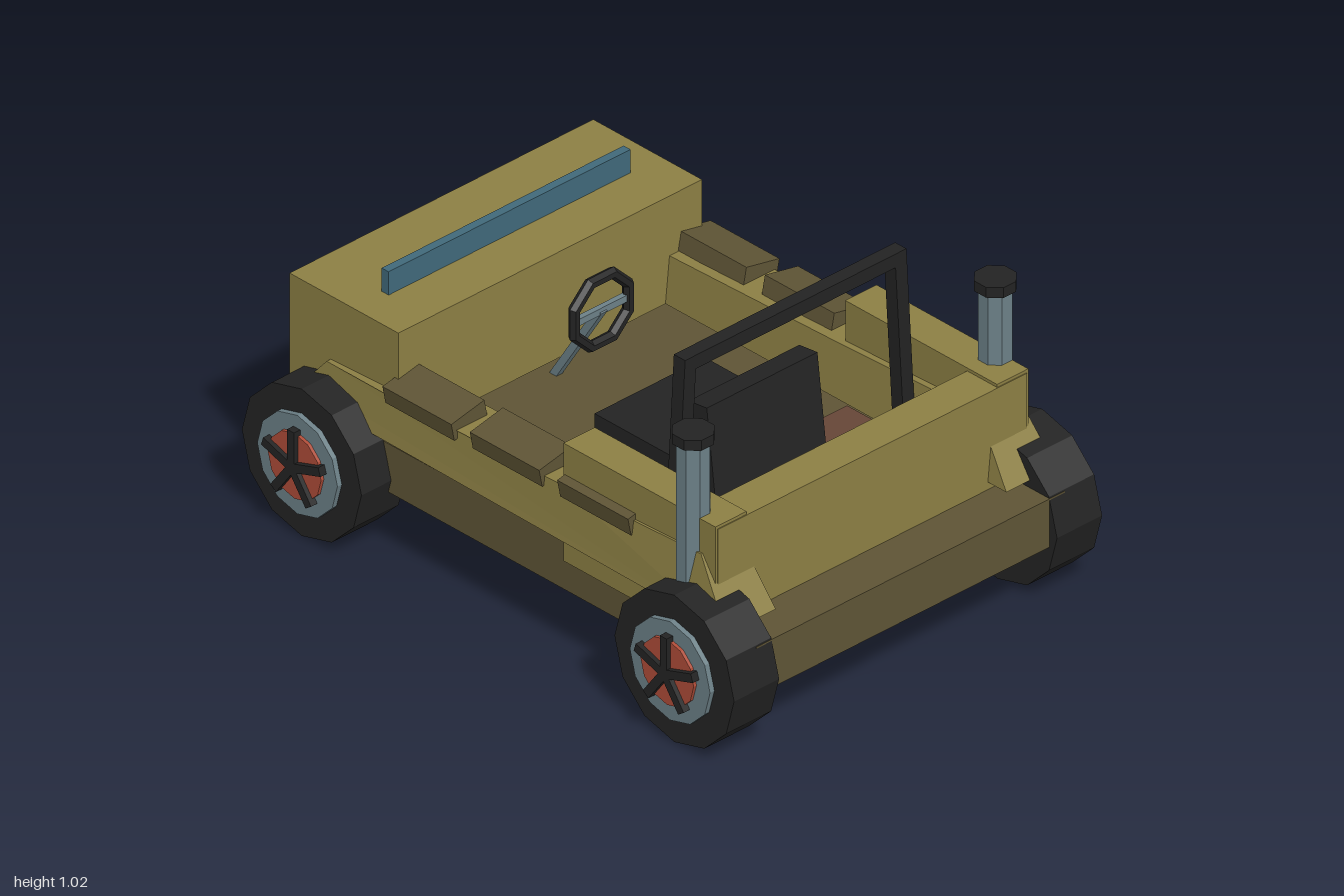
import * as THREE from 'three';

const paint = (name, color) => {
  const m = new THREE.MeshStandardMaterial({ color, flatShading: true });
  m.name = name;
  return m;
};

export function createModel() {
  const olive = paint('olive', 0x8c7f44);
  const darkOlive = paint('dark olive', 0x5e5435);
  const black = paint('black', 0x232323);
  const steel = paint('steel', 0x6c8087);
  const red = paint('red', 0xae4c38);
  const brown = paint('brown', 0x664637);
  const glass = paint('glass', 0x40697a);
  const lamp = paint('lamp', 0x66c2c6);

  const car = new THREE.Group();
  car.name = 'buggy';

  const add = (name, geo, mat, parent = car) => {
    const m = new THREE.Mesh(geo, mat);
    m.name = name;
    parent.add(m);
    return m;
  };
  // Box given by its limits on each axis
  const box = (name, mat, [x0, x1], [y0, y1], [z0, z1], parent = car) => {
    const m = add(name, new THREE.BoxGeometry(x1 - x0, y1 - y0, z1 - z0), mat, parent);
    m.position.set((x0 + x1) / 2, (y0 + y1) / 2, (z0 + z1) / 2);
    return m;
  };
  const span = (a, b, s) => (s > 0 ? [a, b] : [-b, -a]);

  // Chassis, floor, bonnet and tail
  box('chassis', darkOlive, [-0.6, 0.6], [0.2, 0.36], [-0.97, 0.97]);
  box('cabinFloor', brown, [-0.46, 0.46], [0.355, 0.37], [0.23, 0.7]);
  box('bonnet', olive, [-0.59, 0.59], [0.385, 0.735], [-0.937, -0.495]);
  box('tailPanel', olive, [-0.6, 0.6], [0.36, 0.68], [0.69, 0.815]);
  box('windscreen', glass, [-0.47, 0.47], [0.735, 0.812], [-0.688, -0.66]);

  // Grille and headlamps
  box('grille', black, [-0.285, 0.285], [0.385, 0.525], [-0.968, -0.93]);
  for (let i = -2; i <= 2; i++) {
    box('grilleBar', steel, [i * 0.1 - 0.012, i * 0.1 + 0.012], [0.405, 0.508], [-0.983, -0.96]);
  }

  // Lower side panel: profile in z and y, leaning in at the top and towards the nose
  const profile = [[0.89, 0.385], [0.86, 0.43], [0.76, 0.58], [0.2, 0.557], [-0.5, 0.537],
    [-0.77, 0.525], [-0.85, 0.43], [-0.85, 0.385]];
  const sidePanel = (s) => {
    const shape = new THREE.Shape(profile.map(([z, y]) => new THREE.Vector2(z, y)));
    const geo = new THREE.ExtrudeGeometry(shape, { depth: 1, bevelEnabled: false });
    const p = geo.attributes.position;
    for (let i = 0; i < p.count; i++) {
      const z = p.getX(i), y = p.getY(i), w = p.getZ(i);
      const t = s < 0 ? w : 1 - w;
      const rise = (y - 0.385) / 0.195;
      const inner = 0.448 + 0.02 * rise;
      const outer = 0.642 - 0.028 * rise - 0.06 * Math.max(0, -0.5 - z);
      p.setXYZ(i, s * (inner + (outer - inner) * t), y, z);
    }
    geo.computeVertexNormals();
    return geo;
  };

  for (const s of [-1, 1]) {
    const side = s > 0 ? 'left' : 'right';
    add(side + 'SidePanel', sidePanel(s), olive);
    box(side + 'RearSideBox', olive, span(0.487, 0.608, s), [0.3, 0.69], [0.195, 0.812]);
    box(side + 'Headlamp', lamp, span(0.33, 0.5, s), [0.55, 0.625], [-0.968, -0.93]);

    // Sloping pads along the sill
    for (const [z0, z1, y] of [[0.2, 0.488, 0.566], [-0.155, 0.127, 0.565], [-0.51, -0.23, 0.556]]) {
      const pad = box(side + 'SillPad', darkOlive, span(0.502, 0.633, s), [y - 0.03, y + 0.03], [z0, z1]);
      pad.rotation.z = -s * 0.2;
    }

    // Exhaust stack
    const pipe = add(side + 'ExhaustPipe', new THREE.CylinderGeometry(0.052, 0.052, 0.52, 8), steel);
    pipe.position.set(s * 0.587, 0.66, 0.7);
    const cap = add(side + 'ExhaustCap', new THREE.CylinderGeometry(0.064, 0.064, 0.034, 8), black);
    cap.position.set(s * 0.587, 0.937, 0.7);
    pipe.rotation.y = cap.rotation.y = Math.PI / 8;

    // Wheels
    for (const z of [-0.757, 0.757]) {
      const wheel = new THREE.Group();
      wheel.name = side + (z < 0 ? 'NoseWheel' : 'TailWheel');
      wheel.position.set(0, 0.243, z);
      car.add(wheel);
      const disc = (name, mat, r, x0, x1, n) => {
        const geo = new THREE.CylinderGeometry(r, r, x1 - x0, n).rotateZ(Math.PI / 2);
        add(name, geo, mat, wheel).position.x = s * (x0 + x1) / 2;
      };
      disc('tyre', black, 0.243, 0.54, 0.715, 12);
      disc('rim', steel, 0.163, 0.7, 0.732, 12);
      disc('hub', red, 0.108, 0.72, 0.743, 12);
      for (let i = 0; i < 5; i++) {
        const geo = new THREE.BoxGeometry(0.024, 0.122, 0.028).translate(0, 0.061, 0);
        const spoke = add('spoke', geo, black, wheel);
        spoke.position.x = s * 0.746;
        spoke.rotation.x = (i * Math.PI * 2) / 5;
      }
    }
  }

  // Roll bar: one flat hoop with splayed legs
  const hoop = new THREE.Shape([[-0.468, 0.37], [-0.43, 1.025], [0.43, 1.025], [0.468, 0.37],
    [0.424, 0.37], [0.388, 0.98], [-0.388, 0.98], [-0.424, 0.37]].map(([x, y]) => new THREE.Vector2(x, y)));
  const rollBar = add('rollBar', new THREE.ExtrudeGeometry(hoop, { depth: 0.046, bevelEnabled: false }), black);
  rollBar.position.z = 0.457;

  // Seat
  box('seatCushion', black, [-0.215, 0.215], [0.388, 0.49], [-0.09, 0.36]);
  const backrest = new THREE.Group();
  backrest.name = 'backrest';
  backrest.position.set(0, 0.555, 0.348);
  backrest.rotation.x = -0.12;
  car.add(backrest);
  box('backrestFrame', black, [-0.215, 0.215], [-0.155, 0.155], [-0.037, 0.037], backrest);
  box('backrestPad', darkOlive, [-0.165, 0.165], [-0.1, 0.115], [-0.055, -0.03], backrest);

  // Steering wheel and column
  const rim = add('steeringWheel', new THREE.TorusGeometry(0.113, 0.018, 6, 8), black);
  rim.position.set(0, 0.652, -0.288);
  rim.rotation.z = Math.PI / 8;
  box('steeringCrossbar', steel, [-0.1, 0.1], [0.642, 0.664], [-0.297, -0.279]);
  const top = new THREE.Vector3(0, 0.655, -0.285), foot = new THREE.Vector3(0, 0.355, -0.475);
  const column = add('steeringColumn', new THREE.BoxGeometry(0.024, top.distanceTo(foot), 0.024), steel);
  column.position.lerpVectors(top, foot, 0.5);
  column.rotation.x = Math.atan2(top.z - foot.z, top.y - foot.y);

  return car;
}
